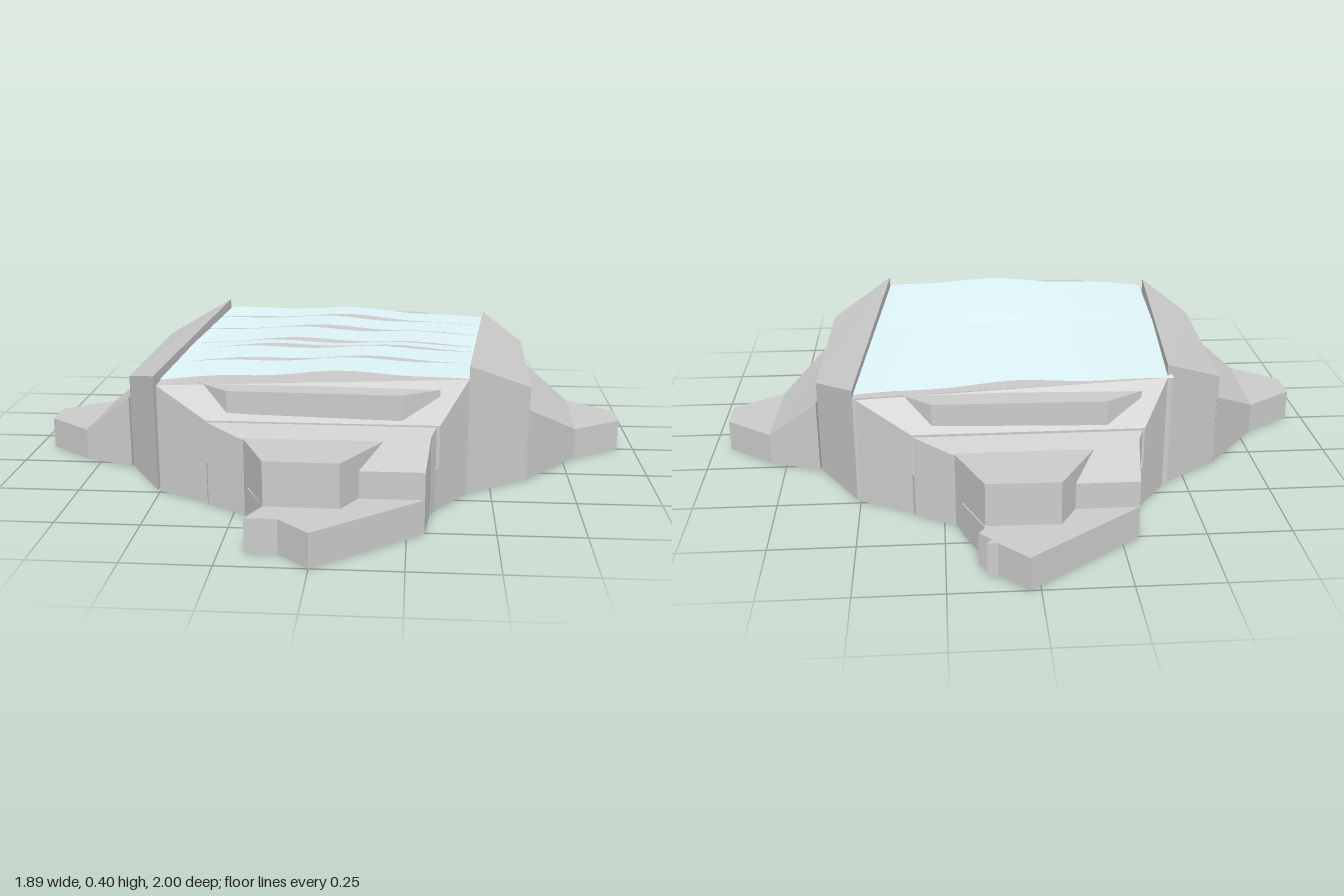
import * as THREE from 'three';

const rock = new THREE.MeshStandardMaterial({ color: 0xcccccc, flatShading: true });
const water = new THREE.MeshStandardMaterial({ color: 0xdff5f8, flatShading: true, side: THREE.DoubleSide });

// Solid with vertical walls down to `floor`; corners are [x, z, top height].
function block(name, corners, floor = 0) {
  let c = corners;
  let plan = c.map(([x, z]) => new THREE.Vector2(x, -z));
  if (THREE.ShapeUtils.area(plan) < 0) {
    c = [...c].reverse();
    plan = plan.reverse();
  }
  const top = c.map(([x, z, y]) => [x, y, z]);
  const low = c.map(([x, z]) => [x, floor, z]);
  const pos = [];
  const tri = (...p) => p.forEach((v) => pos.push(...v));
  for (const [i, j, k] of THREE.ShapeUtils.triangulateShape(plan, [])) {
    tri(top[i], top[j], top[k]);
    tri(low[i], low[k], low[j]);
  }
  c.forEach((_, i) => {
    const j = (i + 1) % c.length;
    tri(low[i], low[j], top[j]);
    tri(low[i], top[j], top[i]);
  });
  const geo = new THREE.BufferGeometry();
  geo.setAttribute('position', new THREE.Float32BufferAttribute(pos, 3));
  geo.computeVertexNormals();
  const mesh = new THREE.Mesh(geo, rock);
  mesh.name = name;
  return mesh;
}

// Give every plan corner the same or a computed height
const level = (plan, y) => plan.map(([x, z]) => [x, z, typeof y === 'function' ? y(x, z) : y]);

// One wing and one stepped end of the mound
function half(name, slabEdge) {
  const g = new THREE.Group();
  g.name = name;
  g.add(
    // side wing: high shoulder, lower slope, flat tip
    block('wingShoulder', [[0.425, 0.445, 0.4], [0.62, 0.31, 0.3], [0.635, -0.275, 0.3], [0.51, -0.48, 0.36]]),
    block('wingSlope', [[0.615, 0.315, 0.23], [0.79, 0.1, 0.1], [0.8, -0.22, 0.1], [0.64, -0.28, 0.23]]),
    block('wingTip', level([[0.79, 0.1], [0.945, 0], [0.945, -0.11], [0.8, -0.22]], 0.1)),
    // sloping end face with a projecting shelf
    block('endSlope', [[-0.5, 0.49, 0.335], [0.425, 0.45, 0.36], [0.34, 0.57, 0.255], [-0.34, 0.57, 0.255]]),
    block('shelf', level([[-0.38, 0.465], [0.34, 0.495], [0.23, 0.56], [-0.28, 0.55]], 0.34), 0.2),
    // narrow cleft, then the ramp, block and low slab
    block('cleftFloor', level([[-0.34, 0.57], [0.34, 0.57], [0.33, 0.585], [-0.335, 0.585]], 0.13)),
    block('ramp', level([[-0.335, 0.585], [0.33, 0.585], [0.315, 0.62], [0.3, 0.755], [0.12, 0.755], [-0.22, 0.65]],
      (x, z) => 0.255 - (z - 0.585) * 0.44)),
    block('stepBlock', level([[-0.22, 0.645], [0.18, 0.645], [0.07, 0.835], [-0.14, 0.83]], 0.23)),
    block('lowSlab', level([[0.3, 0.755], ...slabEdge, [-0.2, 0.7], [0.2, 0.65]], 0.1)),
  );
  return g;
}

// Rippled sheet in overlapping bands across the flat top
function waterSheet() {
  const nx = 16;
  const breaks = [-0.465, -0.31, -0.14, 0.04, 0.11, 0.27, 0.46];
  const g = new THREE.Group();
  g.name = 'waterSurface';
  const lerp = THREE.MathUtils.lerp;
  for (let b = 0; b < breaks.length - 1; b++) {
    const geo = new THREE.PlaneGeometry(1, 1, nx, 3);
    const p = geo.attributes.position;
    for (let i = 0; i < p.count; i++) {
      const u = p.getX(i) + 0.5;
      const t = 0.5 - p.getY(i);
      const z = lerp(breaks[b], breaks[b + 1], t);
      const v = (z + 0.465) / 0.925;
      const x = lerp(lerp(-0.44, -0.495, v), lerp(0.508, 0.425, v), u);
      // twisted base height, a soft swell across and a small rise per band
      const base = lerp(lerp(0.362, 0.337, u), lerp(0.34, 0.362, u), v);
      const swell = 0.013 * Math.sin(Math.PI * u) * (1 + 0.5 * Math.cos(4 * Math.PI * u + b));
      p.setXYZ(i, x, base + 0.004 + swell + 0.008 * t * Math.sin(Math.PI * u), z);
    }
    geo.computeVertexNormals();
    const mesh = new THREE.Mesh(geo, water);
    mesh.name = 'waterBand';
    g.add(mesh);
  }
  return g;
}

export function createModel() {
  const model = new THREE.Group();
  model.name = 'rockMound';

  // central body under the water
  model.add(block('core', [[-0.5, 0.49, 0.335], [0.425, 0.45, 0.36], [0.51, -0.48, 0.335], [-0.44, -0.45, 0.36]]));

  // two opposite halves with slightly different slab ends
  const front = half('frontHalf', [[0, 1], [-0.09, 0.915], [-0.18, 0.915], [-0.14, 0.83]]);
  const back = half('backHalf',
    [[-0.03, 1], [-0.11, 0.92], [-0.14, 0.92], [-0.125, 0.9], [-0.16, 0.865], [-0.14, 0.84]]);
  back.rotation.y = Math.PI;
  model.add(front, back, waterSheet());
  return model;
}
